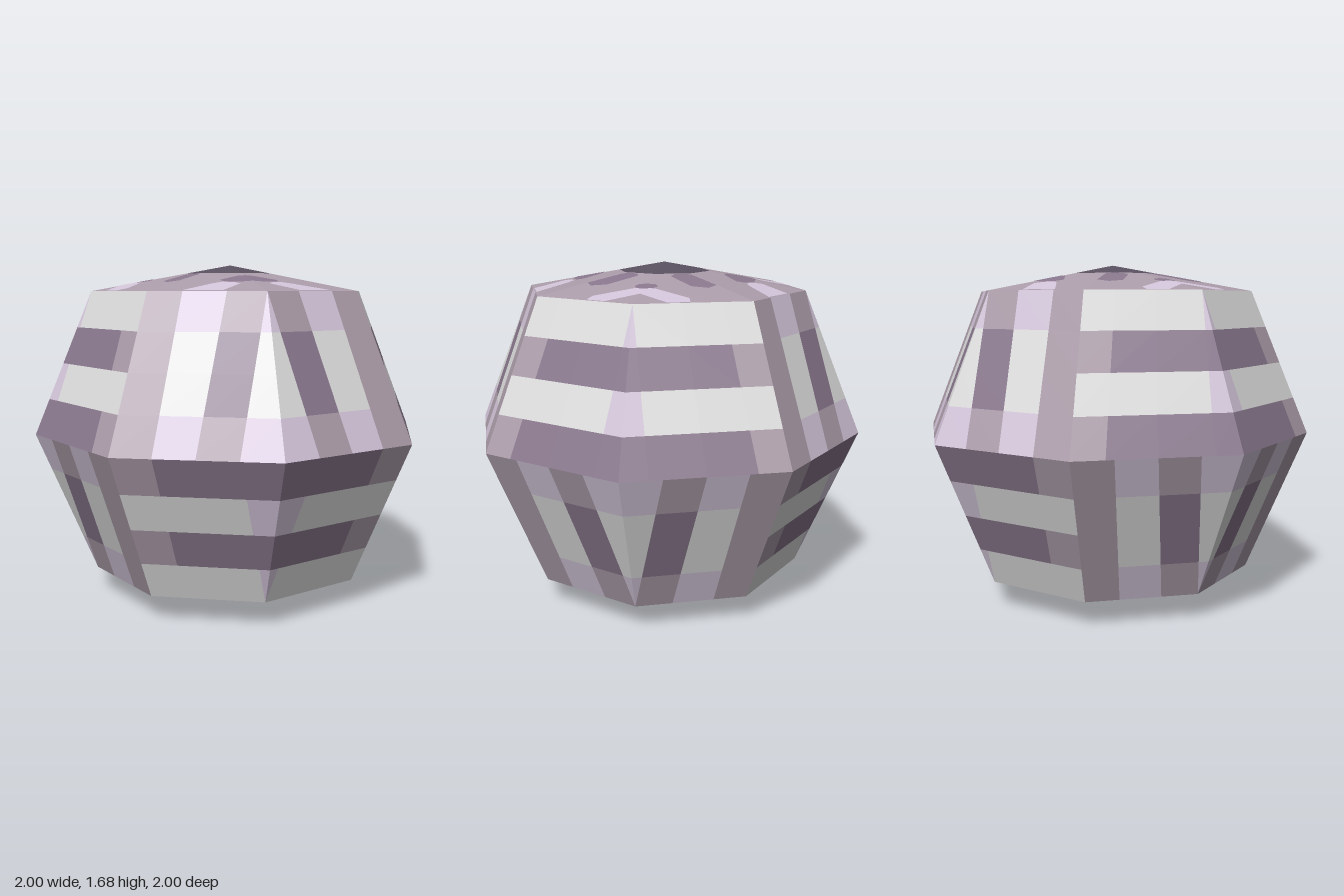
import * as THREE from 'three';

const MID = 0.84, RIM = 0.707, RIM_H = 0.71, TIP_H = 0.84;

const mat = (name, color) => {
  const m = new THREE.MeshStandardMaterial({ color, flatShading: true });
  m.name = name;
  return m;
};

// Flat polygons (lists of Vector3) fanned into one mesh, all facing away from the centre
function polygonMesh(name, polygons, material) {
  const pos = [], centre = new THREE.Vector3(0, MID, 0);
  for (const p of polygons) {
    for (let i = 1; i < p.length - 1; i++) {
      let [a, b, c] = [p[0], p[i], p[i + 1]];
      const n = b.clone().sub(a).cross(c.clone().sub(a));
      if (n.length() < 1e-9) continue;
      if (n.dot(a.clone().sub(centre)) < 0) [b, c] = [c, b];
      for (const v of [a, b, c]) pos.push(v.x, v.y, v.z);
    }
  }
  const g = new THREE.BufferGeometry();
  g.setAttribute('position', new THREE.Float32BufferAttribute(pos, 3));
  g.computeVertexNormals();
  const mesh = new THREE.Mesh(g, material);
  mesh.name = name;
  return mesh;
}

export function createModel() {
  const model = new THREE.Group();
  model.name = 'octagonalPlaidBall';
  const mats = {
    white: mat('white', 0xdedede),
    purple: mat('purple', 0x8a788e),
    lilac: mat('lilac', 0xd4c6db),
    mauve: mat('mauve', 0xac9daa),
    dark: mat('darkPlum', 0x5a5160),
  };

  // Plaid weave: either rows or columns alternate, with tinted border bands
  const weave = (flat, row, col) => {
    if (flat) return row % 2 ? (col === 3 ? 'lilac' : 'white') : (col === 0 ? 'mauve' : 'purple');
    const band = row === 0 || row === 3;
    return col % 2 ? (band ? 'lilac' : 'white') : (band || col === 0 ? 'mauve' : 'purple');
  };

  // Side panels: mirrored pairs around each of the four directions, above and below the equator
  const point = (angle, r, y) => new THREE.Vector3(Math.sin(angle) * r, y, Math.cos(angle) * r);
  for (const up of [1, -1]) {
    for (let k = 0; k < 4; k++) {
      const flat = (k % 2 === 1) === (up === 1);
      const wide = flat && up === 1;
      const f0 = wide ? [0, 0.2, 0.5, 0.83, 1] : [0, 0.25, 0.5, 0.75, 1];
      const f1 = wide ? [0, 0.26, 0.6, 1, 1] : [0, 0.3, 0.67, 1, 1];
      const cells = { white: [], purple: [], lilac: [], mauve: [] };
      for (const side of [1, -1]) {
        const inner = k * Math.PI / 2, outer = inner + side * Math.PI / 4;
        const at = (col, t) => {
          const a = point(outer, 1, MID).lerp(point(inner, 1, MID), f0[col]);
          const y = MID + up * RIM_H;
          const b = point(outer, RIM, y).lerp(point(inner, RIM, y), f1[col]);
          return a.lerp(b, t);
        };
        for (let row = 0; row < 4; row++) {
          for (let col = 0; col < 4; col++) {
            const t0 = row / 4, t1 = t0 + 0.25;
            cells[weave(flat, row, col)].push([at(col, t0), at(col + 1, t0), at(col + 1, t1), at(col, t1)]);
          }
        }
      }
      const panel = new THREE.Group();
      panel.name = (up > 0 ? 'upper' : 'lower') + ['Front', 'Left', 'Back', 'Right'][k] + 'Panel';
      for (const c in cells) panel.add(polygonMesh(c + 'Weave', cells[c], mats[c]));
      model.add(panel);
    }
  }

  // Cap markings for one quarter, mirrored into the other three
  const marks = [
    ['purple', [[0.19, 0.13], [0.21, 0.09], [0.25, 0.08], [0.375, 0.2], [0.375, 0.28], [0.32, 0.31], [0.19, 0.17]]],
    ['purple', [[0, 0.31], [0.04, 0.31], [0.14, 0.38], [0.13, 0.42], [0.06, 0.46], [0, 0.46]]],
    ['purple', [[0.4, 0], [0.4, 0.04], [0.43, 0.055], [0.475, 0.03], [0.48, 0]]],
    ['lilac', [[0.56, 0], [0.465, 0], [0.465, 0.05], [0.5, 0.12]]],
    ['lilac', [[0.56, 0], [0.5, 0.12], [0.55, 0.22], [0.605, 0.235], [0.645, 0.14]]],
    ['lilac', [[0.09, 0.46], [0.14, 0.43], [0.19, 0.45], [0.35, 0.555], [0.18, 0.628], [0.07, 0.5]]],
  ];
  const apothem = Math.cos(Math.PI / 8), s = Math.sin(Math.PI / 8);
  const capHeight = (x, z) => {
    const d = Math.max(x, z) * apothem + Math.min(x, z) * s;
    return TIP_H - (TIP_H - RIM_H) * d / (RIM * apothem) + 0.002;
  };

  // Shallow pyramid caps with a dark tip
  const tipR = 0.23, tipY = TIP_H - (TIP_H - RIM_H) * tipR / RIM;
  for (const up of [1, -1]) {
    const cap = new THREE.Group();
    cap.name = up > 0 ? 'topCap' : 'bottomCap';
    const ring = (name, rTop, rBottom, yTop, yBottom, m) => {
      const g = new THREE.CylinderGeometry(rTop, rBottom, yTop - yBottom, 8, 1, true);
      g.translate(0, (yTop + yBottom) / 2, 0);
      if (up < 0) g.rotateX(Math.PI);
      g.translate(0, MID, 0);
      const mesh = new THREE.Mesh(g, m);
      mesh.name = name;
      cap.add(mesh);
    };
    ring('capSlope', tipR, RIM, tipY, RIM_H, mats.mauve);
    ring('capTip', 0, tipR, TIP_H, tipY, mats.dark);
    for (const c of ['purple', 'lilac']) {
      const polys = [];
      for (const [colour, pts] of marks) {
        if (colour !== c) continue;
        for (const sx of [1, -1]) for (const sz of [1, -1]) {
          polys.push(pts.map(([x, z]) => {
            const y = MID + up * capHeight(x, z);
            return up > 0 ? new THREE.Vector3(sx * x, y, sz * z) : new THREE.Vector3(sz * z, y, sx * x);
          }));
        }
      }
      cap.add(polygonMesh(c + 'Markings', polys, mats[c]));
    }
    model.add(cap);
  }
  return model;
}
